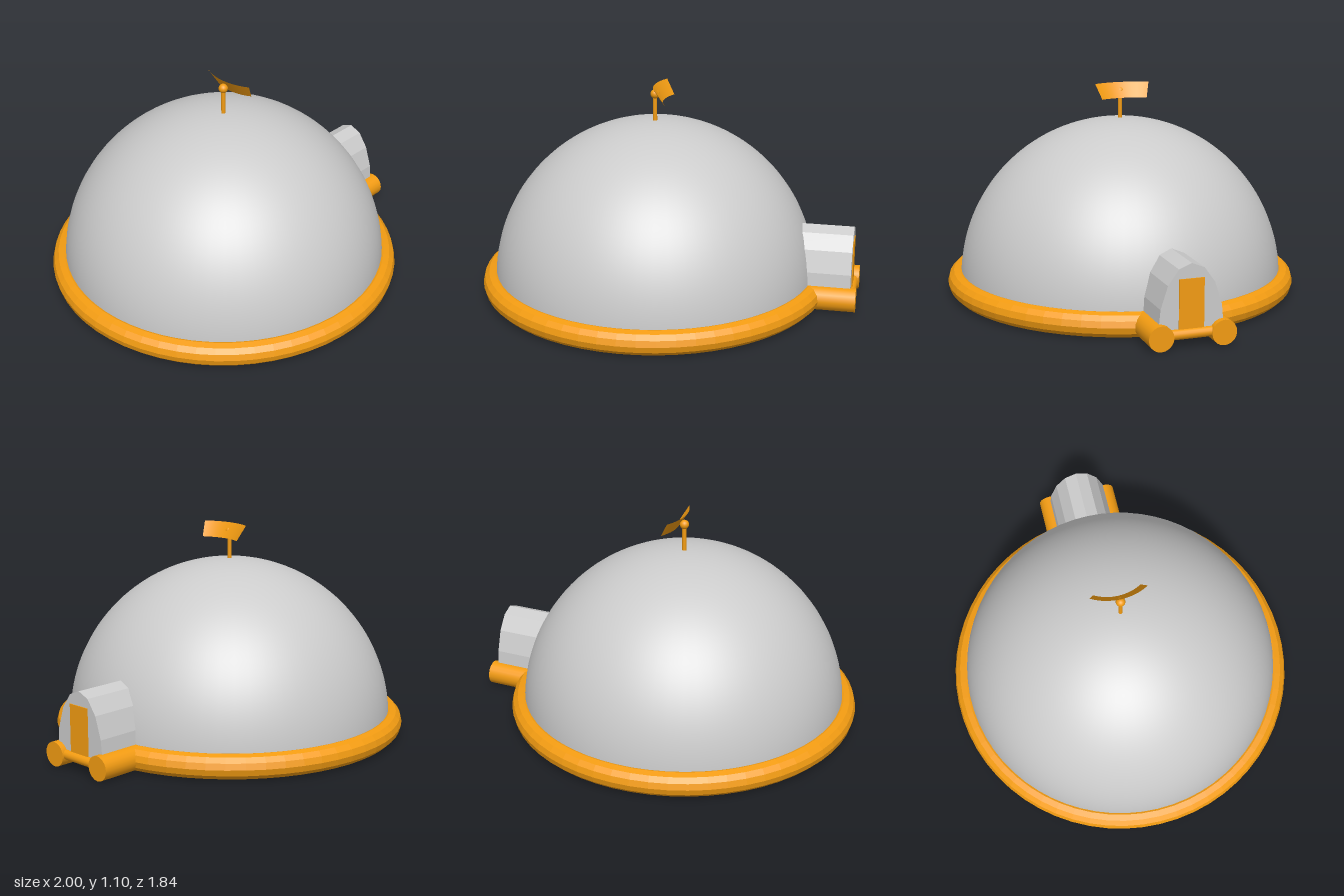
import * as THREE from 'three';

export function createModel() {
  const model = new THREE.Group();
  const make = (color, opts = {}) => new THREE.MeshStandardMaterial({ color, ...opts });
  const grey = make(0xcccccc);
  const greyFlat = make(0xcccccc, { flatShading: true });
  const orange = make(0xf39c12);
  const orangeFlat = make(0xf39c12, { flatShading: true });
  const orangeThin = make(0xf39c12, { side: THREE.DoubleSide });

  const add = (name, geometry, material, x, y, z = 0) => {
    const mesh = new THREE.Mesh(geometry, material);
    mesh.name = name;
    mesh.position.set(x, y, z);
    model.add(mesh);
    return mesh;
  };

  const cx = -0.08;    // dome axis
  const baseY = 0.065; // height of the ring's centre line

  // Dome shell, closed underneath
  add('dome', new THREE.SphereGeometry(0.85, 64, 32, 0, Math.PI * 2, 0, Math.PI / 2), grey, cx, baseY + 0.005);
  add('domeFloor', new THREE.CircleGeometry(0.85, 64), grey, cx, baseY + 0.005).rotation.x = Math.PI / 2;

  // Inflated ring around the base
  add('baseRing', new THREE.TorusGeometry(0.857, 0.0625, 12, 60), orangeFlat, cx, baseY).rotation.x = Math.PI / 2;

  // Entrance tunnel: half-ellipse arch extruded along x
  const arch = new THREE.Shape();
  for (let i = 0; i <= 8; i++) {
    const a = (i / 8) * Math.PI;
    const px = 0.165 * Math.cos(a), py = 0.343 * Math.sin(a);
    if (i === 0) arch.moveTo(px, py);
    else arch.lineTo(px, py);
  }
  arch.closePath();
  const tunnel = new THREE.ExtrudeGeometry(arch, { depth: 0.45, bevelEnabled: false });
  add('entranceTunnel', tunnel, greyFlat, 0.52, baseY).rotation.y = Math.PI / 2;

  // Door panel on the tunnel's end
  add('door', new THREE.BoxGeometry(0.01, 0.27, 0.125), orange, 0.97, 0.2);

  // Floats on both sides of the tunnel, joined by a sill bar
  for (const side of [-1, 1]) {
    const float = new THREE.CylinderGeometry(0.0625, 0.0625, 0.55, 20);
    add(side > 0 ? 'frontFloat' : 'backFloat', float, orange, 0.725, baseY, side * 0.157).rotation.z = Math.PI / 2;
  }
  add('sillBar', new THREE.CylinderGeometry(0.025, 0.025, 0.314, 16), orange, 0.97, 0.07).rotation.x = Math.PI / 2;

  // Mast with a ball tip
  add('mast', new THREE.CylinderGeometry(0.011, 0.011, 0.16, 12), orange, cx, 0.98);
  add('mastBall', new THREE.SphereGeometry(0.024, 16, 12), orange, cx, 1.06);

  // Curved reflector, a strip of a cone
  const strip = new THREE.CylinderGeometry(0.292, 0.242, 0.077, 10, 1, true, Math.PI * 4 / 3, Math.PI / 3);
  add('reflector', strip, orangeThin, 0.207, 1.068);

  return model;
}
